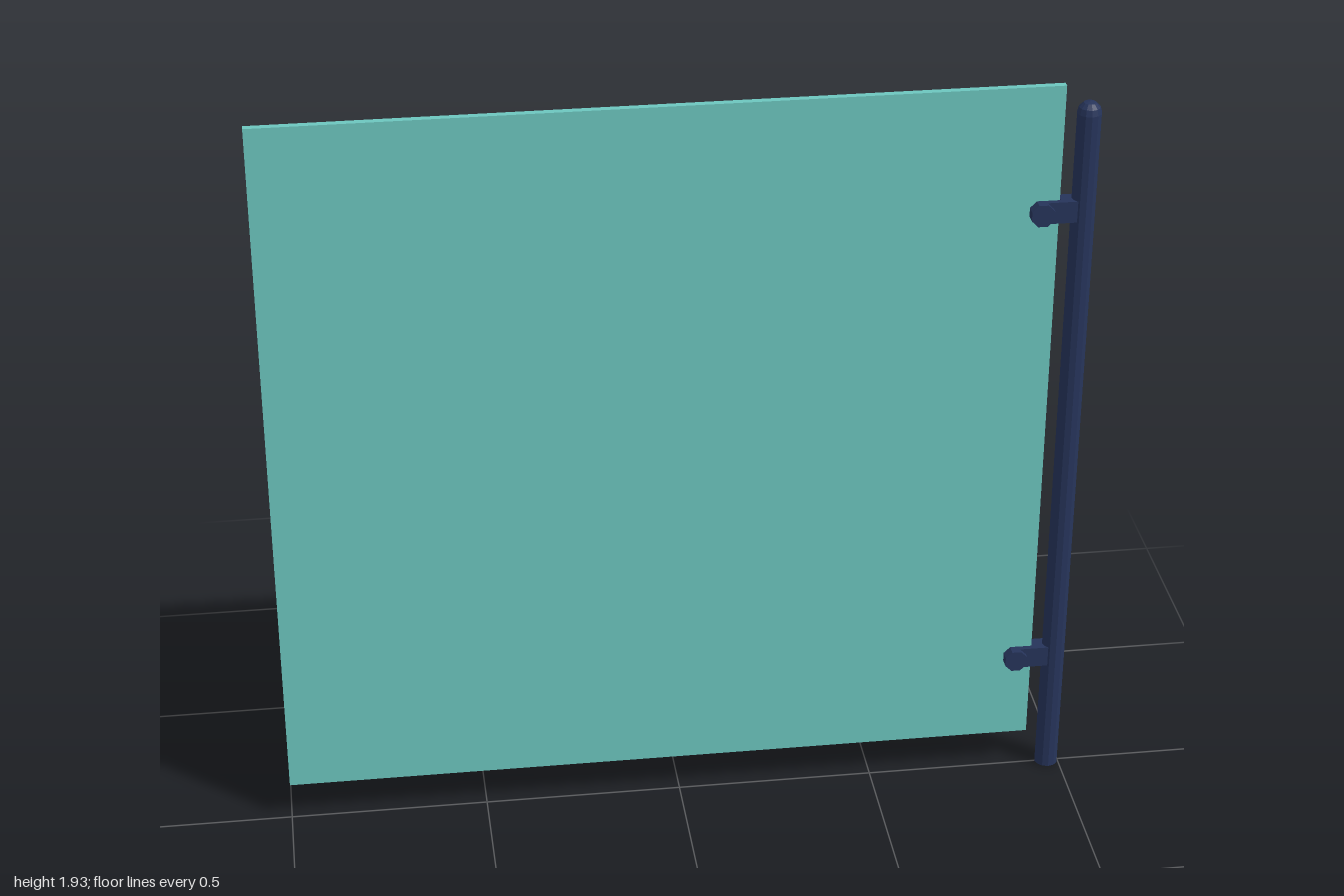
import * as THREE from 'three';

export function createModel() {
  const model = new THREE.Group();
  const glass = new THREE.MeshStandardMaterial({ color: 0x6cc5be });
  const metal = new THREE.MeshStandardMaterial({ color: 0x26345a, flatShading: true });

  const add = (parent, name, geometry, material, x, y, z = 0) => {
    const mesh = new THREE.Mesh(geometry, material);
    mesh.name = name;
    mesh.position.set(x, y, z);
    parent.add(mesh);
    return mesh;
  };

  // Glass panel
  add(model, 'glassPanel', new THREE.BoxGeometry(1.91, 1.82, 0.017), glass, -0.045, 1.015);

  // Round post with a domed top
  const postProfile = [[0, 0], [0.03, 0], [0.03, 1.85], [0.026, 1.865], [0.015, 1.876], [0, 1.88]]
    .map(([r, y]) => new THREE.Vector2(r, y));
  add(model, 'post', new THREE.LatheGeometry(postProfile, 12), metal, 0.97, 0);

  // Hinge clamps gripping the panel: an arm and a bolt head on each face
  const armGeometry = new THREE.BoxGeometry(0.09, 0.055, 0.014);
  const boltGeometry = new THREE.CylinderGeometry(0.03, 0.03, 0.027, 8);
  boltGeometry.rotateY(Math.PI / 8).rotateX(Math.PI / 2);
  for (const y of [0.34, 1.603]) {
    const clamp = new THREE.Group();
    clamp.name = 'hingeClamp';
    clamp.position.y = y;
    for (const side of [1, -1]) {
      add(clamp, 'clampArm', armGeometry, metal, 0.908, 0, side * 0.0155);
      add(clamp, 'clampBolt', boltGeometry, metal, 0.866, 0, side * 0.022);
    }
    // Block joining the two arms to the post
    add(clamp, 'clampBlock', new THREE.BoxGeometry(0.04, 0.055, 0.044), metal, 0.932, 0);
    model.add(clamp);
  }
  return model;
}
